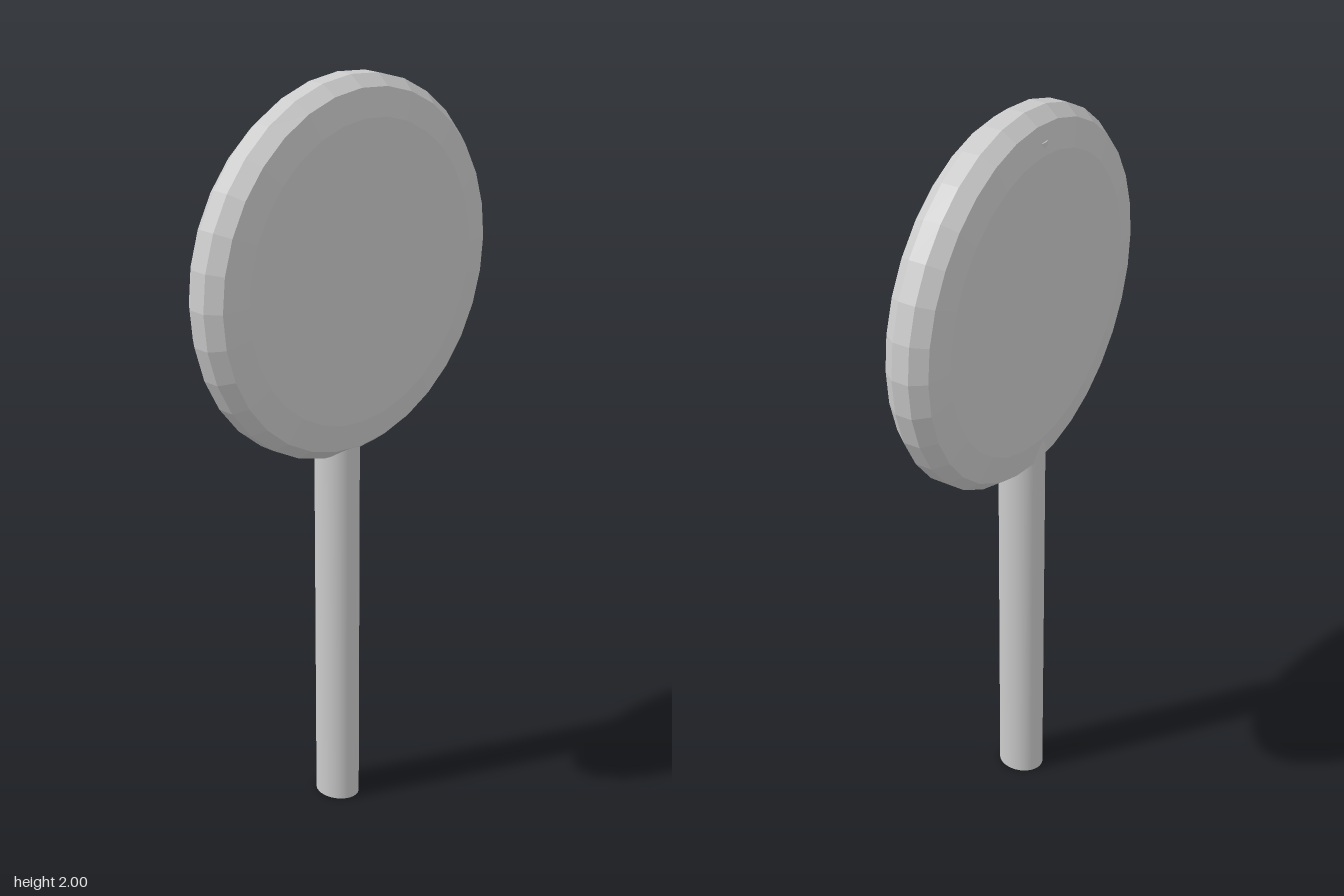
import * as THREE from 'three';

export function createModel() {
  const model = new THREE.Group();

  // Faceted candy disc: bevelled profile turned around the x axis
  const profile = [
    [0, -0.073], [0.39, -0.073], [0.462, -0.06], [0.49, -0.023],
    [0.49, 0.023], [0.462, 0.06], [0.39, 0.073], [0, 0.073],
  ].map(([r, h]) => new THREE.Vector2(r, h));
  const disc = new THREE.Mesh(
    new THREE.LatheGeometry(profile, 32).rotateZ(Math.PI / 2),
    new THREE.MeshStandardMaterial({ color: 0xcccccc, flatShading: true }),
  );
  disc.name = 'candyDisc';
  disc.position.y = 1.51;
  model.add(disc);

  // Smooth, slightly oval stick, set a little off centre and running up inside the disc
  const height = 1.93;
  const stick = new THREE.Mesh(
    new THREE.CylinderGeometry(1, 1, height, 32).scale(0.064, 1, 0.054),
    new THREE.MeshStandardMaterial({ color: 0xcccccc }),
  );
  stick.name = 'stick';
  stick.position.set(-0.006, height / 2, 0.02);
  model.add(stick);

  return model;
}
